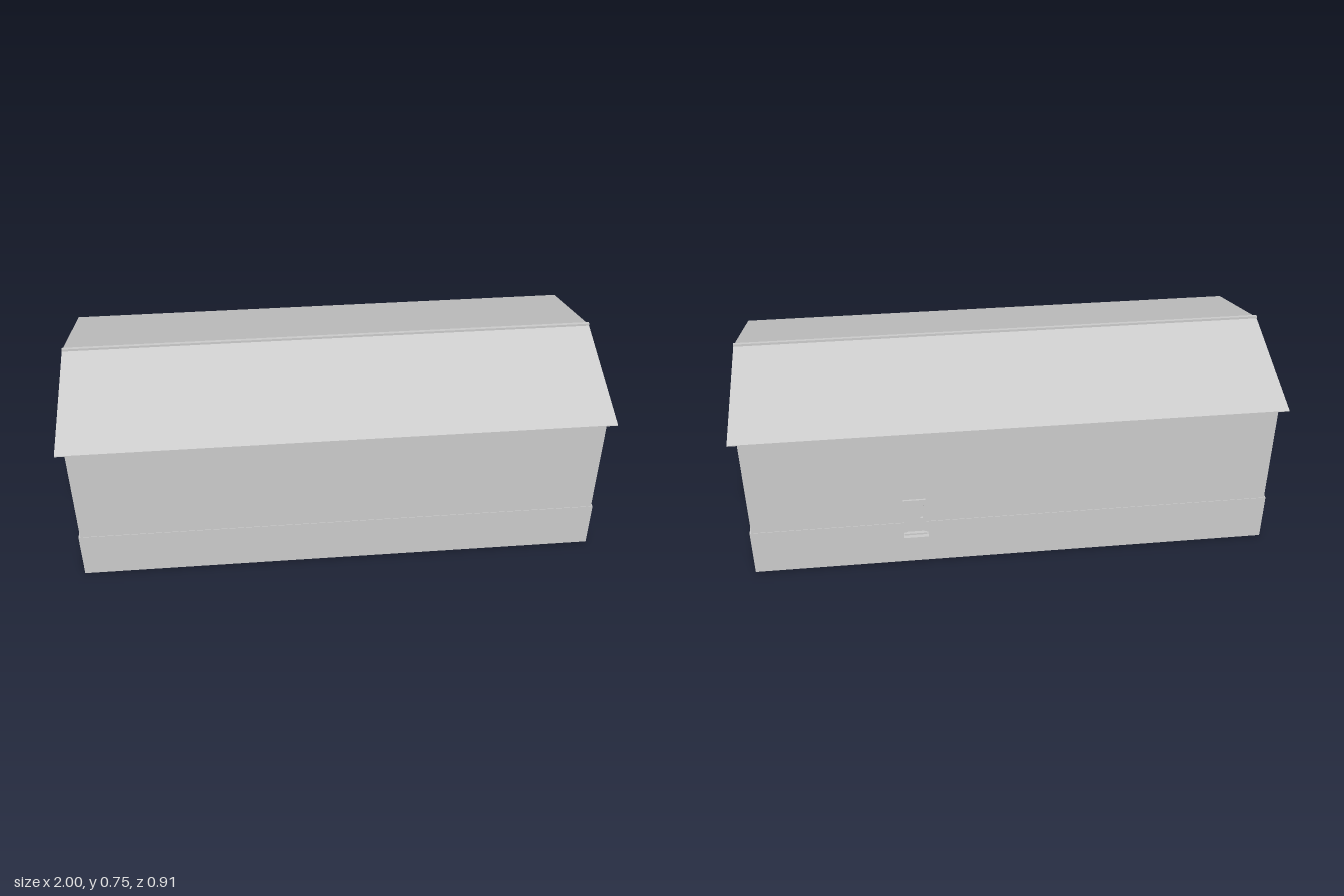
import * as THREE from 'three';

export function createModel() {
  const model = new THREE.Group();
  model.name = 'longHouse';
  const grey = new THREE.MeshStandardMaterial({ color: 0xcccccc });
  grey.name = 'plain grey';

  // Box given by its min and max corners
  function box(name, x0, x1, y0, y1, z0, z1, parent = model) {
    const mesh = new THREE.Mesh(new THREE.BoxGeometry(x1 - x0, y1 - y0, z1 - z0), grey);
    mesh.position.set((x0 + x1) / 2, (y0 + y1) / 2, (z0 + z1) / 2);
    mesh.name = name;
    parent.add(mesh);
    return mesh;
  }

  // Plinth and the slightly narrower walls
  box('plinth', -0.976, 0.976, 0, 0.186, -0.424, 0.43);
  box('walls', -0.97, 0.97, 0.186, 0.599, -0.422, 0.428);

  // Gabled roof: triangular section with thin eaves, run along x
  const section = new THREE.Shape([
    [-0.455, 0.597], [0.449, 0.597], [0.449, 0.6], [-0.003, 0.74], [-0.455, 0.6],
  ].map(([z, y]) => new THREE.Vector2(z, y)));
  const roofGeometry = new THREE.ExtrudeGeometry(section, { depth: 2, bevelEnabled: false });
  roofGeometry.translate(0, 0, -1).rotateY(Math.PI / 2);
  const roof = new THREE.Mesh(roofGeometry, grey);
  roof.name = 'roof';
  model.add(roof);

  box('ridgeCap', -1, 1, 0.732, 0.747, -0.003, 0.009);

  // Back door with frame, panel, handle and steps
  const door = new THREE.Group();
  door.name = 'backDoor';
  model.add(door);
  const left = 0.41, right = 0.325, wall = -0.42, face = -0.429;
  box('doorPanel', right, left, 0.137, 0.29, -0.4255, wall, door);
  for (const x of [right, left - 0.01]) box('doorPost', x, x + 0.01, 0.137, 0.292, face, wall, door);
  box('doorLintel', right, left, 0.28, 0.292, face, wall, door);
  box('doorHandle', 0.338, 0.348, 0.205, 0.211, -0.433, wall, door);
  box('upperStep', right, left, 0.137, 0.144, -0.438, wall, door);
  box('lowerStep', right - 0.005, left + 0.002, 0.13, 0.137, -0.453, wall, door);

  return model;
}
